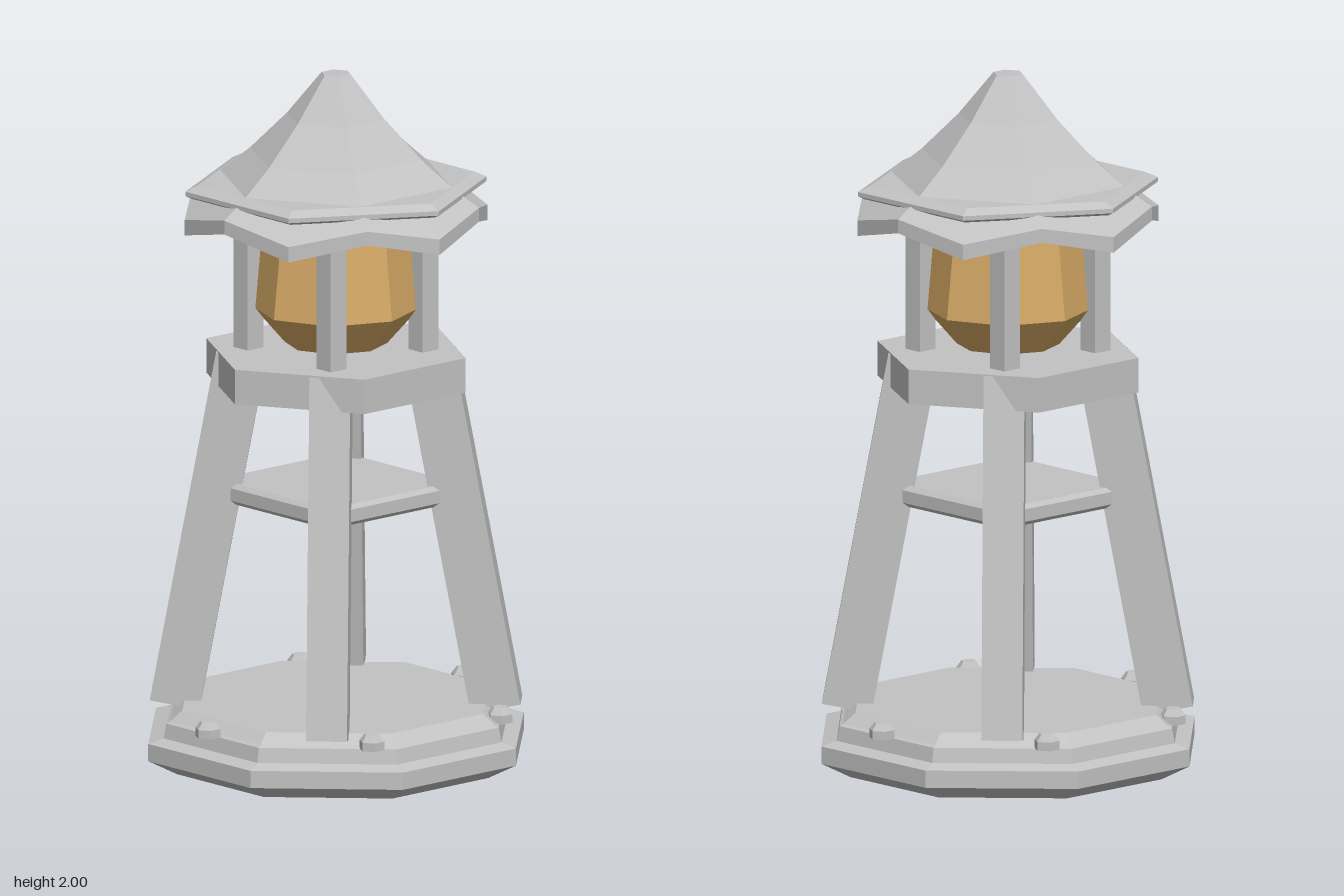
import * as THREE from 'three';

const stone = new THREE.MeshStandardMaterial({ color: 0xc2c2c2, flatShading: true });
stone.name = 'stone grey';
const glow = new THREE.MeshStandardMaterial({ color: 0xd6aa66, flatShading: true });
glow.name = 'lamp amber';

function add(parent, name, geometry, material, x = 0, y = 0, z = 0) {
  const mesh = new THREE.Mesh(geometry, material);
  mesh.name = name;
  mesh.position.set(x, y, z);
  parent.add(mesh);
  return mesh;
}

// Faceted solid of revolution; profile runs from bottom centre to top centre.
function faceted(profile, sides, scale = 1) {
  return new THREE.LatheGeometry(profile.map(([r, y]) => new THREE.Vector2(r * scale, y)), sides);
}

// Twelve-point roof skin: each ring gives radius and height at the hexagon
// corners and at the points between them.
function roofGeometry() {
  const c = Math.cos(Math.PI / 6);
  const hex = (r, y) => [r, y, r * c, y];
  const rings = [
    hex(0, 1.63), hex(0.35, 1.63),
    [0.425, 1.6, 0.437, 1.55], [0.425, 1.64, 0.437, 1.595],
    hex(0.36, 1.68), hex(0.255, 1.765), hex(0.145, 1.875), hex(0.043, 2), hex(0, 2),
  ];
  const positions = [];
  const indices = [];
  for (const [r0, y0, r1, y1] of rings) {
    for (let i = 0; i < 12; i++) {
      const a = (i * Math.PI) / 6;
      const r = i % 2 ? r1 : r0;
      positions.push(r * Math.cos(a), i % 2 ? y1 : y0, -r * Math.sin(a));
    }
  }
  for (let k = 0; k < rings.length - 1; k++) {
    for (let i = 0; i < 12; i++) {
      const a = k * 12 + i;
      const b = k * 12 + ((i + 1) % 12);
      if (k > 0) indices.push(a, b, b + 12);
      else indices.push(a, b + 12, a + 12);
      if (k > 0 && k < rings.length - 2) indices.push(a, b + 12, a + 12);
      }
  }
  const geometry = new THREE.BufferGeometry();
  geometry.setAttribute('position', new THREE.Float32BufferAttribute(positions, 3));
  geometry.setIndex(indices);
  const flat = geometry.toNonIndexed();
  flat.computeVertexNormals();
  return flat;
}

export function createModel() {
  const model = new THREE.Group();
  model.name = 'lantern tower';

  // Stepped octagonal base, flats facing the axes
  const base = add(model, 'base', faceted([
    [0, 0], [0.44, 0], [0.52, 0.045], [0.52, 0.095], [0.478, 0.108],
    [0.47, 0.15], [0.46, 0.155], [0.425, 0.185], [0, 0.185],
  ], 8, 1 / Math.cos(Math.PI / 8)), stone);
  base.rotation.y = Math.PI / 8;

  // Six hexagonal bolts around the base
  const boltShape = faceted([[0, 0], [0.037, 0], [0.037, 0.025], [0.022, 0.045], [0, 0.045]], 6);
  for (let i = 0; i < 6; i++) {
    const a = (i * Math.PI) / 3;
    const bolt = add(model, 'bolt', boltShape, stone, 0.487 * Math.cos(a), 0.15, 0.487 * Math.sin(a));
    bolt.rotation.y = Math.PI / 6;
  }

  // Four leaning legs on the diagonals, with lantern posts above them
  const legShape = new THREE.BoxGeometry(0.116, 1.03, 0.143);
  const postShape = new THREE.BoxGeometry(0.06, 0.44, 0.06);
  for (let i = 0; i < 4; i++) {
    const a = Math.PI / 4 + (i * Math.PI) / 2;
    const pivot = new THREE.Group();
    pivot.name = 'leg';
    pivot.rotation.y = a;
    add(pivot, 'legBeam', legShape, stone, 0, 0.677, 0.36).rotation.x = -0.183;
    model.add(pivot);
    add(model, 'post', postShape, stone,
      Math.sign(Math.sin(a)) * 0.175, 1.41, Math.sign(Math.cos(a)) * 0.175);
  }

  // Square chamfered shelf between the legs
  const shelf = add(model, 'shelf', faceted([
    [0, 0.755], [0.238, 0.755], [0.25, 0.767], [0.25, 0.803], [0.238, 0.815], [0, 0.815],
  ], 4, Math.SQRT2), stone);
  shelf.rotation.y = Math.PI / 4;

  // Hexagonal platform under the lantern
  const platform = add(model, 'platform', new THREE.CylinderGeometry(0.385, 0.385, 0.1, 6), stone, 0, 1.15, 0);
  platform.rotation.y = Math.PI / 6;

  // Amber lamp
  add(model, 'lamp', faceted([
    [0, 1.217], [0.145, 1.217], [0.236, 1.32], [0.21, 1.545], [0.13, 1.63], [0, 1.645],
  ], 8), glow);

  // Bevelled hexagonal plate poking out through the roof
  add(model, 'roofPlate', faceted([
    [0, 1.655], [0.415, 1.655], [0.435, 1.664], [0.435, 1.677], [0.4, 1.693], [0, 1.693],
  ], 6), stone);

  // Roof with drooping eaves
  add(model, 'roof', roofGeometry(), stone);

  return model;
}
